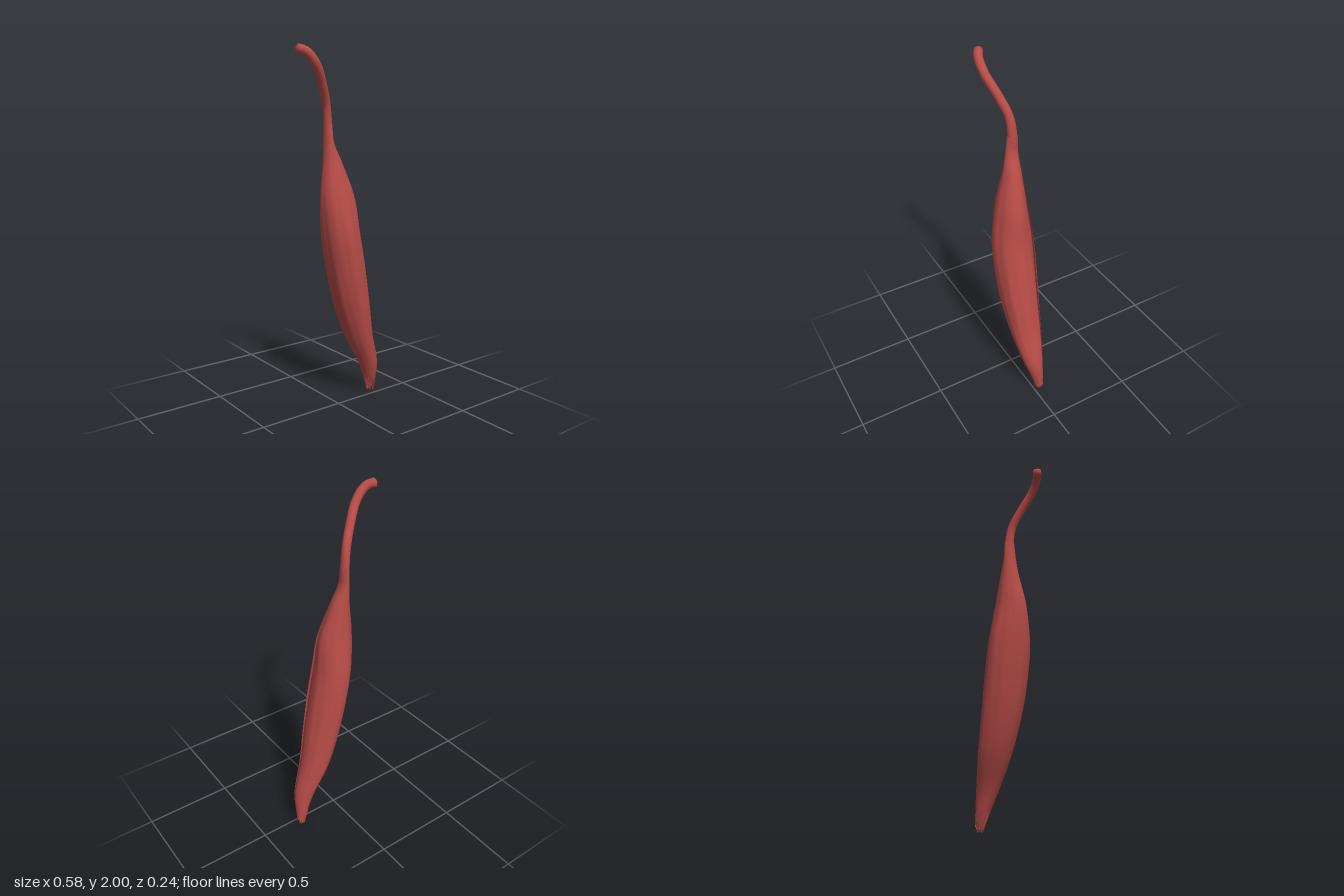
import * as THREE from 'three';
import { mergeVertices } from 'three/addons/utils/BufferGeometryUtils.js';

const rad = THREE.MathUtils.degToRad;

// Pod outline from tip to neck: y, xMin, xMax, zMin, zMax
const SECTIONS = [
  [0.03, 0.25, 0.292, -0.062, -0.018],
  [0.2, 0.175, 0.285, -0.075, 0.04],
  [0.4, 0.07, 0.227, -0.105, 0.08],
  [0.6, -0.005, 0.187, -0.115, 0.107],
  [0.8, -0.055, 0.147, -0.12, 0.12],
  [1.0, -0.09, 0.11, -0.115, 0.118],
  [1.2, -0.105, 0.088, -0.086, 0.085],
  [1.4, -0.08, 0.022, -0.07, 0.032],
  [1.5, -0.071, -0.02, -0.064, 0.01],
  [1.6, -0.068, -0.027, -0.062, -0.002],
];
const low = new THREE.CatmullRomCurve3(SECTIONS.map((s) => new THREE.Vector3(s[1], s[0], s[3])));
const high = new THREE.CatmullRomCurve3(SECTIONS.map((s) => new THREE.Vector3(s[2], s[0], s[4])));

// One petal: a sheet wrapped round the pod between two angles (0 = +x, 90 = +z).
// fit(u, t) gives its distance from the outline; the seams twist a little with height.
function petalGeometry(from, to, fit, columns) {
  const rows = 56;
  const pos = [];
  const index = [];
  for (let j = 0; j <= rows; j++) {
    const t = j / rows;
    const a0 = low.getPoint(t);
    const a1 = high.getPoint(t);
    const mid = a0.clone().add(a1).multiplyScalar(0.5);
    const swell = Math.sin(Math.PI * t);
    for (let i = 0; i <= columns; i++) {
      const u = i / columns;
      const a = rad(from + (to - from) * u + 14 * Math.sin(5 * t) * swell);
      const wrinkle = 0.016 * swell * Math.sin(7 * a + 4 * t) + 0.008 * swell * Math.sin(13 * a - 7 * t);
      const k = 1 + (fit(u, t) - 1) * swell + wrinkle;
      // ragged lower rim
      const jag = t < 0.06 ? (1 - t / 0.06) * 0.025 * Math.sin(i * 2.3) : 0;
      pos.push(
        mid.x + ((a1.x - a0.x) / 2) * k * Math.cos(a),
        mid.y + jag,
        mid.z + ((a1.z - a0.z) / 2) * k * Math.sin(a),
      );
      if (i < columns && j < rows) {
        const p = j * (columns + 1) + i;
        const q = p + columns + 1;
        index.push(p, q, p + 1, p + 1, q, q + 1);
      }
    }
  }
  const g = new THREE.BufferGeometry();
  g.setAttribute('position', new THREE.Float32BufferAttribute(pos, 3));
  g.setIndex(index);
  g.computeVertexNormals();
  return g;
}

// Curved stalk: a tube whose rings are widened toward the pod and closed at the tip
function stalkGeometry() {
  const path = new THREE.CatmullRomCurve3([
    [-0.04, 1.4, -0.02], [-0.046, 1.5, -0.028], [-0.048, 1.6, -0.032],
    [-0.064, 1.7, -0.022], [-0.112, 1.8, 0.012], [-0.178, 1.9, 0.05],
    [-0.235, 1.96, 0.05], [-0.288, 1.982, 0.022],
  ].map((p) => new THREE.Vector3(...p)));
  const rings = 64;
  const sides = 14;
  let g = new THREE.TubeGeometry(path, rings, 0.024, sides);
  const p = g.attributes.position;
  const v = new THREE.Vector3();
  for (let i = 0; i <= rings; i++) {
    const t = i / rings;
    const c = path.getPointAt(t);
    const widen = 1 + 0.35 * Math.max(0, 1 - t / 0.45);
    for (let j = 0; j <= sides; j++) {
      const n = i * (sides + 1) + j;
      v.fromBufferAttribute(p, n).sub(c);
      if (i === rings) v.set(0, 0, 0);
      v.x *= t < 0.45 ? 0.95 : 1;
      v.z *= widen;
      v.add(c);
      p.setXYZ(n, v.x, v.y, v.z);
    }
  }
  g.deleteAttribute('uv');
  g.deleteAttribute('normal');
  g = mergeVertices(g, 1e-5);
  g.computeVertexNormals();
  return g;
}

export function createModel() {
  const group = new THREE.Group();
  const red = new THREE.MeshStandardMaterial({ color: 0xb84c48, side: THREE.DoubleSide });
  red.name = 'driedRed';

  const add = (name, geometry) => {
    const mesh = new THREE.Mesh(geometry, red);
    mesh.name = name;
    group.add(mesh);
  };

  // Outer petal wraps most of the pod, with lips lifted at both edges
  add('outerPetal', petalGeometry(38, 302, (u) => {
    const edge = Math.abs(u * 2 - 1);
    return 1 + 0.04 * Math.pow(edge, 10);
  }, 60));

  // Inner petal fills the gap and tucks under the outer one
  add('innerPetal', petalGeometry(-85, 62, (u) => {
    const edge = Math.abs(u * 2 - 1);
    return 0.98 - 0.13 * Math.pow(edge, 3);
  }, 36));

  add('stalk', stalkGeometry());
  return group;
}
